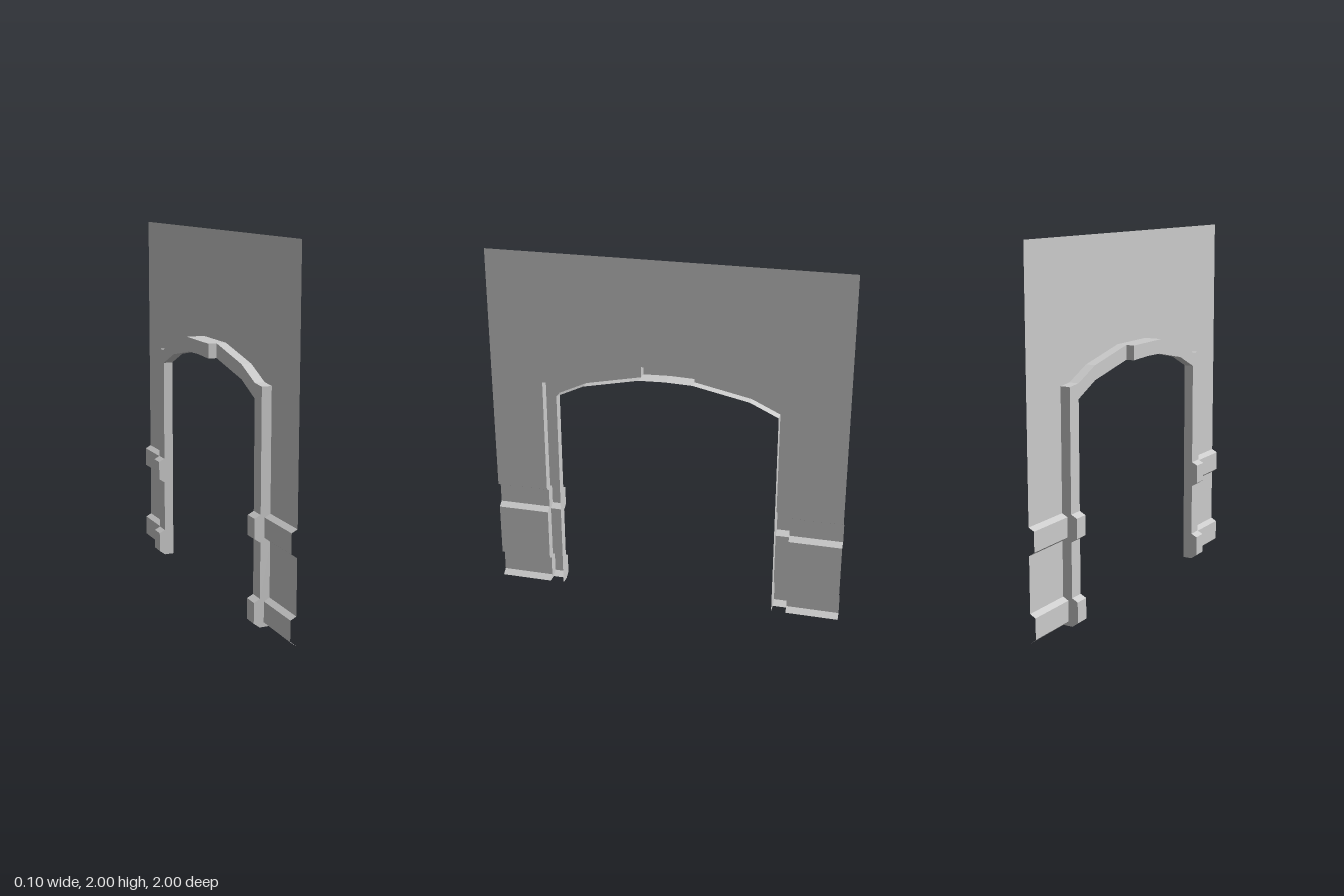
import * as THREE from 'three';

const material = new THREE.MeshStandardMaterial({ color: 0xcccccc, flatShading: true, side: THREE.DoubleSide });

const WALL = 0.051, WALL_STEP = 0.019;     // wall sheet and its bands
const TRIM = -0.004, TRIM_STEP = -0.038;   // frame face and its bands
const KEY = -0.051;                        // keystone face
const INNER = 0.622, OUTER = 0.703, EDGE = 1;

// Surface between two polylines with the same number of [x, y, z] points
function strip(name, a, b) {
  const pos = [];
  const same = (p, q) => p.every((v, i) => Math.abs(v - q[i]) < 1e-6);
  const tri = (p, q, r) => {
    if (!same(p, q) && !same(q, r) && !same(p, r)) pos.push(...p, ...q, ...r);
  };
  for (let i = 0; i < a.length - 1; i++) {
    tri(a[i], b[i], b[i + 1]);
    tri(a[i], b[i + 1], a[i + 1]);
  }
  const geometry = new THREE.BufferGeometry();
  geometry.setAttribute('position', new THREE.Float32BufferAttribute(pos, 3));
  geometry.computeVertexNormals();
  const mesh = new THREE.Mesh(geometry, material);
  mesh.name = name;
  return mesh;
}

// Upright profile with two stepped bands, as [x, y]
function bandedProfile(base, step, top) {
  return [
    [base, 0], [step, 0.025], [step, 0.138], [base, 0.155],
    [base, 0.455], [step, 0.478], [step, 0.585], [base, 0.602], [base, top],
  ];
}
const atZ = (profile, z) => profile.map(([x, y]) => [x, y, z]);

// One post and the wall beside it; s is the side along z
function makeSide(s) {
  const side = new THREE.Group();
  side.name = s > 0 ? 'frontSide' : 'backSide';
  const wall = bandedProfile(WALL, WALL_STEP, 2);
  const inner = atZ(bandedProfile(TRIM, TRIM_STEP, 1.187), s * INNER);
  const outer = atZ(bandedProfile(TRIM, TRIM_STEP, 1.26), s * OUTER);
  const wallEdge = atZ(bandedProfile(WALL, WALL_STEP, 1.26), s * OUTER);
  const reveal = inner.map(([, y, z]) => [WALL, y, z]);
  side.add(
    strip('sideWall', atZ(wall, s * OUTER), atZ(wall, s * EDGE)),
    strip('postFace', inner, outer),
    strip('postReveal', inner, reveal),
    strip('postOuterSide', outer, wallEdge),
  );
  return side;
}

export function createModel() {
  const model = new THREE.Group();
  model.name = 'archedWall';
  model.add(makeSide(1), makeSide(-1));

  // Half arch stations: face x, inner [z, y], outer [z, y]
  const half = [
    [TRIM, [INNER, 1.187], [OUTER, 1.26]],
    [TRIM, [INNER, 1.187], [INNER, 1.267]],
    [TRIM, [0.465, 1.26], [0.465, 1.338]],
    [TRIM, [0.15, 1.325], [0.15, 1.405]],
    [KEY, [0.15, 1.325], [0.15, 1.405]],
  ];
  const mirrored = half.map(([x, i, o]) => [x, [-i[0], i[1]], [-o[0], o[1]]]).reverse();
  const stations = [...half, [KEY, [0, 1.33], [0, 1.405]], ...mirrored];

  const innerFace = stations.map(([x, [z, y]]) => [x, y, z]);
  const outerFace = stations.map(([x, , [z, y]]) => [x, y, z]);
  const onWall = (line) => line.map(([, y, z]) => [WALL, y, z]);
  const archEdge = onWall(outerFace);

  // Arch trim with keystone, open towards the wall side
  const arch = new THREE.Group();
  arch.name = 'archTrim';
  arch.add(
    strip('archFace', innerFace, outerFace),
    strip('archSoffit', innerFace, onWall(innerFace)),
    strip('archTop', outerFace, archEdge),
  );

  // Wall sheet above the arch
  const topEdge = archEdge.map(([x, , z]) => [x, 2, z]);
  model.add(arch, strip('upperWall', archEdge, topEdge));
  return model;
}
